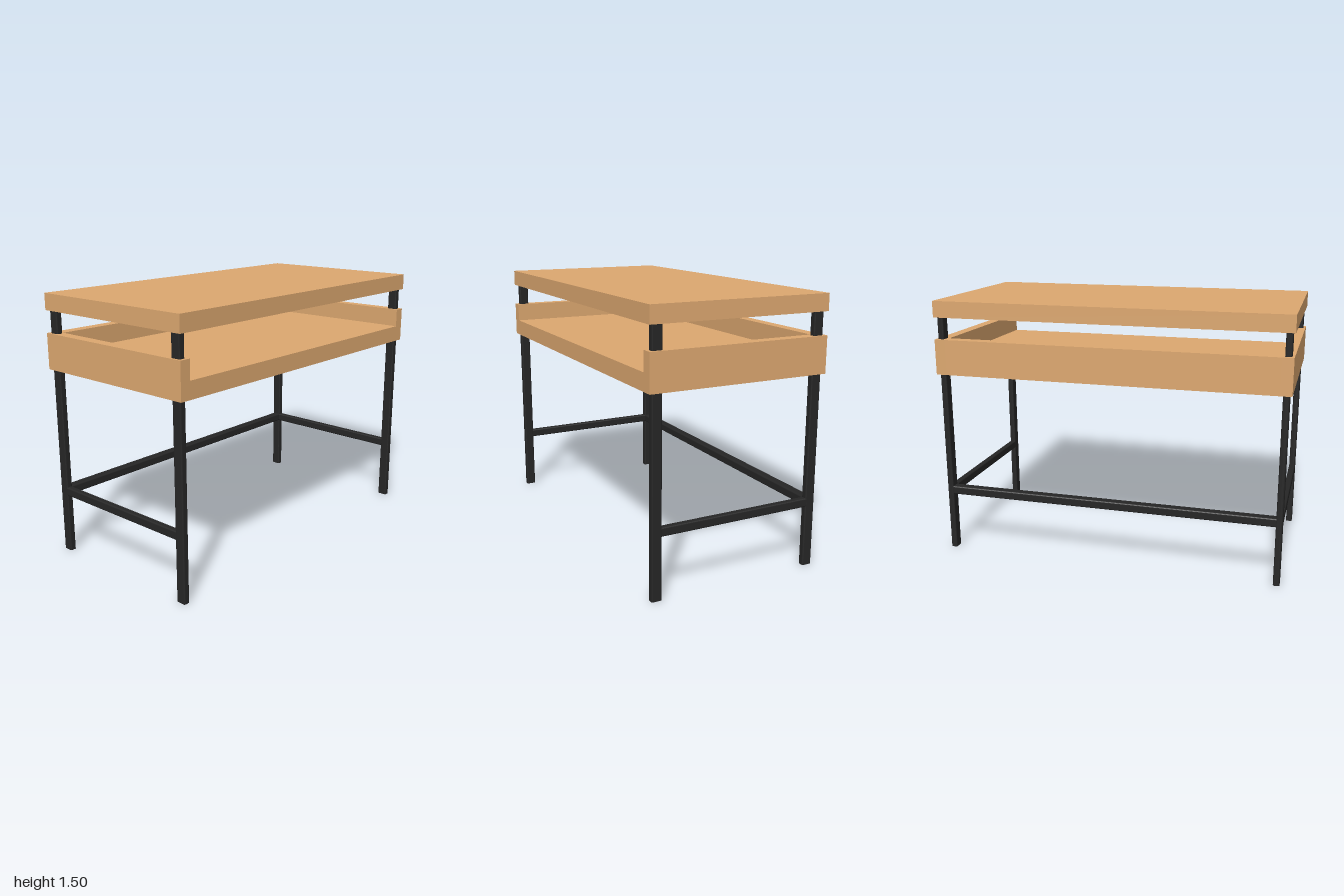
import * as THREE from 'three';

const wood = new THREE.MeshStandardMaterial({ color: 0xdda870 });
const metal = new THREE.MeshStandardMaterial({ color: 0x262626 });

// Box given by its minimum and maximum corners
function board(name, min, max) {
  const size = max.map((v, i) => v - min[i]);
  const mesh = new THREE.Mesh(new THREE.BoxGeometry(...size), wood);
  mesh.position.set(...max.map((v, i) => (v + min[i]) / 2));
  mesh.name = name;
  return mesh;
}

// Metal bar with softened long edges: section w x h, extruded along z and centred
function bar(name, w, h, length, r = 0.008) {
  const x = w / 2, y = h / 2;
  const s = new THREE.Shape();
  s.absarc(x - r, y - r, r, 0, Math.PI / 2);
  s.absarc(-x + r, y - r, r, Math.PI / 2, Math.PI);
  s.absarc(-x + r, -y + r, r, Math.PI, Math.PI * 1.5);
  s.absarc(x - r, -y + r, r, Math.PI * 1.5, Math.PI * 2);
  const geo = new THREE.ExtrudeGeometry(s, { depth: length, bevelEnabled: false, curveSegments: 3 });
  geo.translate(0, 0, -length / 2);
  const mesh = new THREE.Mesh(geo, metal);
  mesh.name = name;
  return mesh;
}

export function createModel() {
  const desk = new THREE.Group();
  desk.name = 'desk';
  const X = 1, Z = 0.513, wall = 0.062;
  const legX = 0.969, legZ = 0.466, legW = 0.036, legD = 0.057;

  // Desktop
  desk.add(board('desktop', [-X, 1.402, -Z], [X, 1.495, Z]));

  // Open-fronted tray: floor, back and two sides
  const tray = new THREE.Group();
  tray.name = 'tray';
  tray.add(board('trayFloor', [-X + wall, 1.075, -Z + wall], [X - wall, 1.17, Z]));
  tray.add(board('trayBack', [-X + wall, 1.075, -Z], [X - wall, 1.277, -Z + wall]));
  tray.add(board('trayLeft', [X - wall, 1.075, -Z], [X, 1.277, Z]));
  tray.add(board('trayRight', [-X, 1.075, -Z], [-X + wall, 1.277, Z]));
  desk.add(tray);

  // Legs run up through the tray to the desktop
  for (const sx of [-1, 1]) {
    for (const sz of [-1, 1]) {
      const leg = bar('leg', legW, legD, 1.402);
      leg.rotation.x = -Math.PI / 2;
      leg.position.set(sx * legX, 0.701, sz * legZ);
      desk.add(leg);
    }
    // Side stretcher between front and back legs
    const side = bar('sideStretcher', legW, 0.049, 2 * legZ - legD + 0.01);
    side.position.set(sx * legX, 0.367, 0);
    desk.add(side);
  }

  // Back stretcher
  const back = bar('backStretcher', legD - 0.004, 0.049, 2 * legX - legW + 0.01);
  back.rotation.y = Math.PI / 2;
  back.position.set(0, 0.367, -legZ);
  desk.add(back);

  return desk;
}
